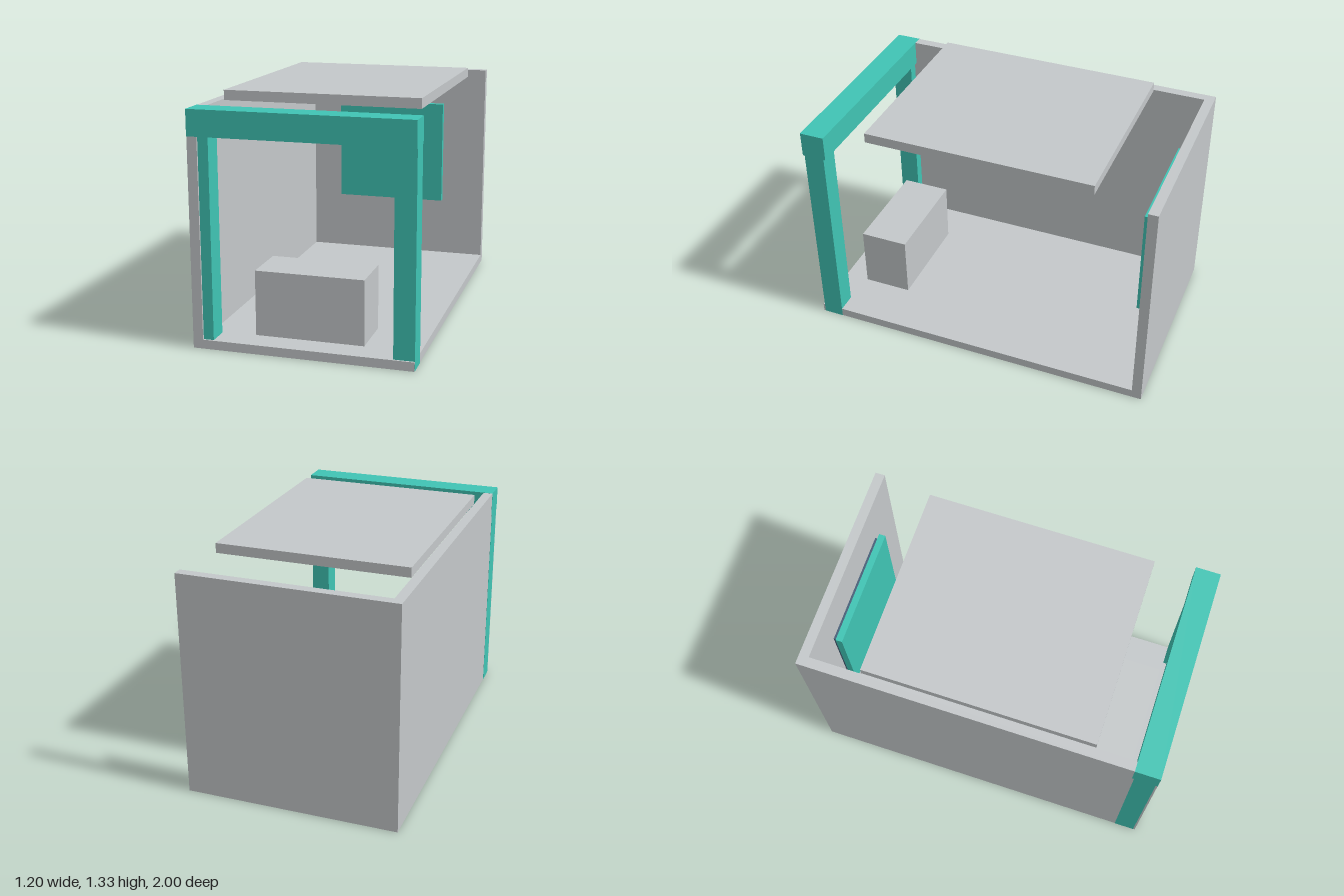
import * as THREE from 'three';

function material(name, color) {
  const m = new THREE.MeshStandardMaterial({ color });
  m.name = name;
  return m;
}

export function createModel() {
  const model = new THREE.Group();
  model.name = 'boothRoom';

  const grey = material('panelGrey', 0xc4c8ca);
  const teal = material('trimTeal', 0x40c4b4);
  const slate = material('slateBlue', 0x475f78);

  // Box given by its extents along each axis
  function slab(name, mat, [x0, x1], [y0, y1], [z0, z1]) {
    const mesh = new THREE.Mesh(new THREE.BoxGeometry(x1 - x0, y1 - y0, z1 - z0), mat);
    mesh.position.set((x0 + x1) / 2, (y0 + y1) / 2, (z0 + z1) / 2);
    mesh.name = name;
    model.add(mesh);
  }

  // Open shell: floor, back and one side wall, the other side left open
  slab('floor', grey, [-0.6, 0.6], [0, 0.05], [-1, 1]);
  slab('backWall', grey, [-0.6, 0.6], [0.05, 1.28], [-1, -0.945]);
  slab('sideWall', grey, [-0.6, -0.545], [0.05, 1.28], [-0.945, 1]);

  // Raised roof panel
  slab('roofPanel', grey, [-0.54, 0.54], [1.275, 1.33], [-0.65, 0.64]);

  // Front frame, a hair proud of the shell so shared faces stay clean
  const e = 0.001;
  for (const side of [-1, 1]) {
    const xs = [side * 0.488, side * (0.6 + e)].sort((a, b) => a - b);
    slab(side < 0 ? 'rightPost' : 'leftPost', teal, xs, [-e, 1.14], [0.873, 0.99]);
  }
  slab('frontBeam', teal, [-0.6 - e, 0.6 + e], [1.14, 1.28 + e], [0.862, 1 + e]);

  // Counter block behind the frame
  slab('counter', grey, [-0.3, 0.3], [0.05, 0.41], [0.577, 0.857]);

  // Hanging screen with its backing plate
  slab('screen', teal, [-0.342, 0.342], [0.422, 1.06], [-0.908, -0.87]);
  slab('screenBacking', slate, [-0.327, 0.327], [0.455, 1.025], [-0.93, -0.908]);

  return model;
}
